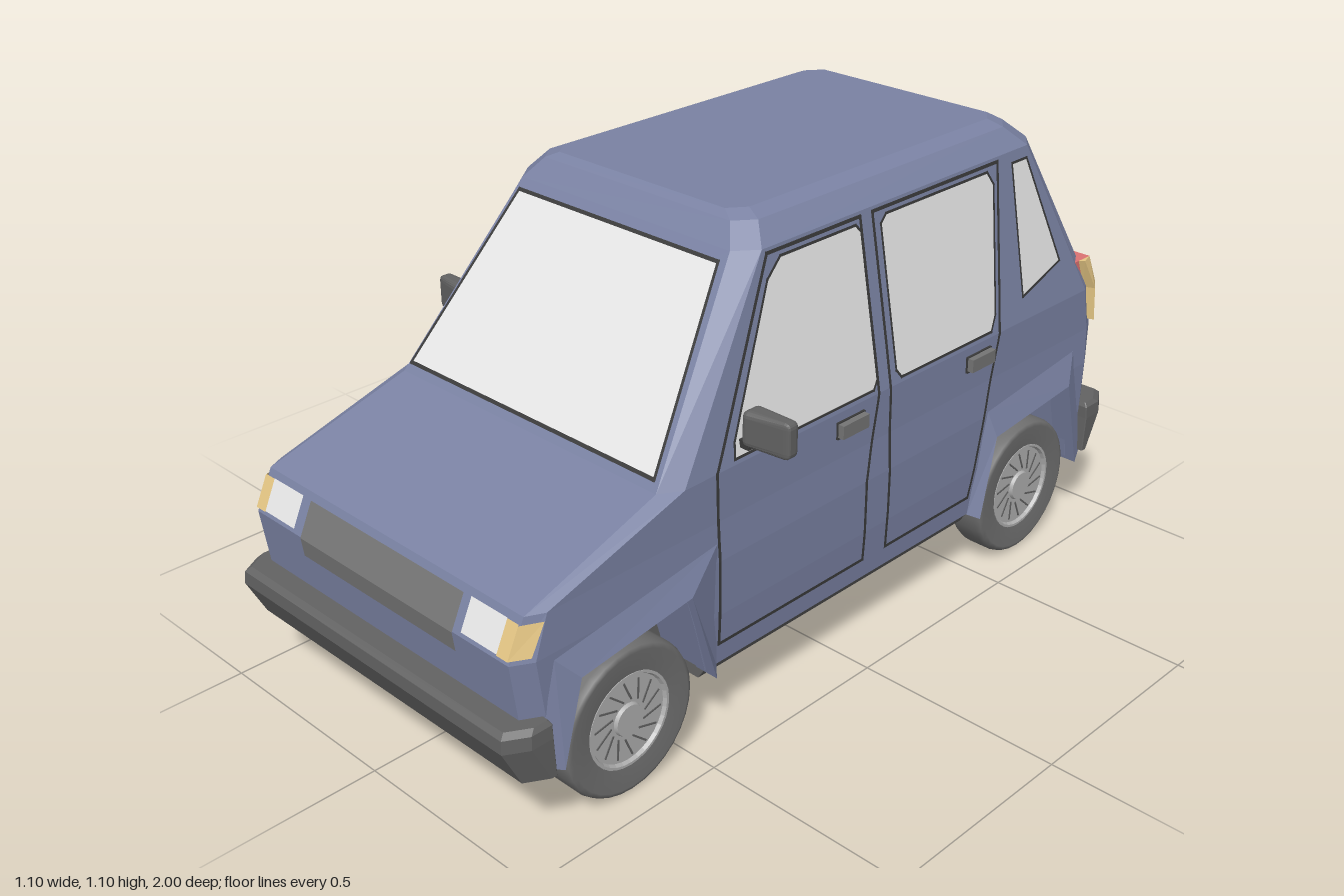
import * as THREE from 'three';
import { RoundedBoxGeometry } from 'three/addons/geometries/RoundedBoxGeometry.js';

const mat = (name, color) => new THREE.MeshStandardMaterial({ name, color, side: THREE.DoubleSide });

// Body levels: y, half width, front z, rear z, corner inset in x, corner inset in z
const LEVELS = [
  [0.19, 0.432, 0.92, -0.92, 0.025, 0.045],
  [0.31, 0.438, 0.94, -0.935, 0.026, 0.045],
  [0.44, 0.438, 0.957, -0.94, 0.026, 0.045],
  [0.53, 0.432, 0.915, -0.94, 0.02, 0.04],
  [0.64, 0.43, 0.56, -0.93, 0.03, 0.05],
  [1.04, 0.355, 0.265, -0.74, 0.04, 0.05],
  [1.085, 0.315, 0.228, -0.69, 0.035, 0.045],
  [1.10, 0.28, 0.212, -0.67, 0.03, 0.04],
];
function at(y) {
  let i = 0;
  while (i < LEVELS.length - 2 && y > LEVELS[i + 1][0]) i++;
  const a = LEVELS[i], b = LEVELS[i + 1], t = (y - a[0]) / (b[0] - a[0]);
  return a.map((v, k) => v + (b[k] - v) * t);
}

// Chamfered rectangle in plan, anticlockwise from above
function ring([y, w, zf, zb, c, d], cf = c, df = d, cb = c, db = d) {
  return [[w, zf - df], [w, zb + db], [w - cb, zb], [cb - w, zb], [-w, zb + db], [-w, zf - df], [cf - w, zf], [w - cf, zf]]
    .map(([x, z]) => [x, y, z]);
}
function flatGeometry(pos) {
  const g = new THREE.BufferGeometry();
  g.setAttribute('position', new THREE.Float32BufferAttribute(pos, 3));
  g.computeVertexNormals();
  return g;
}
function loft(rings) {
  const p = [], n = rings[0].length, last = rings[rings.length - 1];
  for (let i = 0; i < rings.length - 1; i++) for (let j = 0; j < n; j++) {
    const k = (j + 1) % n, a = rings[i][j], b = rings[i][k], c = rings[i + 1][k], d = rings[i + 1][j];
    p.push(...a, ...b, ...c, ...a, ...c, ...d);
  }
  for (let j = 1; j < n - 1; j++) {
    p.push(...last[0], ...last[j], ...last[j + 1]);
    p.push(...rings[0][0], ...rings[0][j + 1], ...rings[0][j]);
  }
  return flatGeometry(p);
}
// Flat outline laid onto the body by a mapping (u, v) -> [x, y, z]
function plate(points, map) {
  const g = new THREE.ShapeGeometry(new THREE.Shape(points.map(p => new THREE.Vector2(...p)))).toNonIndexed();
  const p = g.attributes.position, out = [];
  for (let i = 0; i < p.count; i++) out.push(...map(p.getX(i), p.getY(i)));
  return flatGeometry(out);
}
// Thin line following a closed outline on the body
function seam(points, map, width = 0.006) {
  const out = [], steps = 8, h = width / 2;
  points.forEach((a, i) => {
    const b = points[(i + 1) % points.length], l = Math.hypot(b[0] - a[0], b[1] - a[1]);
    const ex = (b[0] - a[0]) / l * h, ey = (b[1] - a[1]) / l * h;
    const q = (t, s) => map(a[0] - ex + (b[0] - a[0] + 2 * ex) * t - ey * s, a[1] - ey + (b[1] - a[1] + 2 * ey) * t + ex * s);
    for (let k = 0; k < steps; k++) {
      const t = k / steps, u = (k + 1) / steps;
      out.push(...q(t, -1), ...q(u, -1), ...q(u, 1), ...q(t, -1), ...q(u, 1), ...q(t, 1));
    }
  });
  return flatGeometry(out);
}

export function createModel() {
  const model = new THREE.Group();
  model.name = 'car';
  const paint = mat('body blue', 0x7a82a3), glass = mat('window grey', 0xe8e8e8), lamp = mat('headlight white', 0xeeeeee);
  const plastic = mat('bumper grey', 0x626262), black = mat('trim black', 0x3a3a3a), grilleMat = mat('grille grey', 0x757575);
  const rubber = mat('tyre grey', 0x6f6f6f), metal = mat('wheel silver', 0xb0b0b0);
  const red = mat('tail light red', 0xdc7272), amber = mat('indicator amber', 0xe4c684);
  const add = (name, geo, m, parent = model) => {
    const mesh = new THREE.Mesh(geo, m);
    mesh.name = name;
    parent.add(mesh);
    return mesh;
  };
  const box = (name, m, sx, sy, sz, x, y, z, parent) => {
    const b = add(name, new THREE.BoxGeometry(sx, sy, sz), m, parent);
    b.position.set(x, y, z);
    return b;
  };

  // Body above the wheel arches, then lower blocks between and outside them
  add('upperBody', loft([at(0.41), ...LEVELS.slice(2)].map(l => ring(l))), paint);
  const low = [0.19, 0.31, 0.41], slope = (y, a, b) => a + (b - a) * (y - 0.165) / 0.245;
  const block = (name, f, b) => add(name, loft(low.map(y => {
    const l = at(y), [, , , , c, d] = l;
    if (f) l[2] = slope(y, ...f);
    if (b) l[3] = slope(y, ...b);
    const e = 0.0005;
    return ring(l, f ? e : c, f ? e : d, b ? e : c, b ? e : d);
  })), paint);
  block('noseBlock', null, [0.87, 0.82]);
  block('sillBlock', [0.45, 0.52], [-0.46, -0.505]);
  block('tailBlock', [-0.86, -0.81], null);

  // Underside and wheel wells
  add('floor', loft([[0.155, 0.405], [0.19, 0.428]].map(([y, w]) => ring([y, w, 0.45, -0.455, 0.001, 0.001]))), plastic);
  box('wellCore', plastic, 0.62, 0.25, 1.78, 0, 0.28, 0);
  box('wellLining', plastic, 0.85, 0.01, 1.72, 0, 0.404, 0);
  for (const s of [1, -1]) {
    box('endFloor', plastic, 0.7, 0.02, 0.05, 0, 0.182, s * 0.885);
    const lip = [[0.15, 0.29], [0.19, 0.40]].map(([y, w]) => ring([y, w, s * 0.9 + 0.02, s * 0.9 - 0.02, 0.002, 0.002]));
    add('lowerLip', loft(lip), paint);
  }

  // Bumpers
  const frontBumper = [[0.18, 0.46, 0.955, 0.89], [0.27, 0.46, 1, 0.895], [0.3, 0.458, 0.998, 0.895], [0.31, 0.45, 0.985, 0.9]];
  add('frontBumper', loft(frontBumper.map(l => ring([...l, 0.03, 0.05], 0.03, 0.05, 0.002, 0.002))), plastic);
  const rearBumper = [[0.20, 0.46, -0.89, -0.955], [0.29, 0.46, -0.895, -1], [0.32, 0.458, -0.895, -0.998], [0.33, 0.45, -0.9, -0.985]];
  add('rearBumper', loft(rearBumper.map(l => ring([...l, 0.03, 0.05], 0.002, 0.002, 0.03, 0.05))), plastic);

  // Windscreen, rear window, grille and rear plate recess
  const front = o => (x, y) => {
    const [, w, zf, , c, d] = at(y);
    return [x, y + o * 0.5, zf + o - Math.max(0, Math.abs(x) - (w - c)) / c * d];
  };
  const rear = o => (x, y) => [x, y + o * 0.4, at(y)[3] - o];
  const screen = [[-0.385, 0.66], [0.385, 0.66], [0.303, 1.018], [-0.303, 1.018]];
  add('windscreen', plate(screen, front(0.003)), glass);
  add('windscreenTrim', seam(screen, front(0.005), 0.007), black);
  const back = [[-0.28, 0.655], [0.28, 0.655], [0.228, 1.015], [-0.228, 1.015]];
  add('rearWindow', plate(back, rear(0.003)), glass);
  add('rearWindowTrim', seam(back, rear(0.005), 0.005), black);
  add('plateRecess', seam([[-0.13, 0.365], [0.13, 0.365], [0.13, 0.46], [-0.13, 0.46]], rear(0.003), 0.004), black);
  add('grilleLower', plate([[-0.25, 0.395], [0.25, 0.395], [0.25, 0.44], [-0.25, 0.44]], front(0.004)), grilleMat);
  add('grilleUpper', plate([[-0.25, 0.44], [0.25, 0.44], [0.25, 0.515], [-0.25, 0.515]], front(0.004)), grilleMat);

  // Outlines in (z, y) for doors, side windows and arches
  const doors = [
    [[0.42, 0.24], [-0.045, 0.24], [-0.045, 0.44], [-0.085, 0.64], [-0.085, 1.03], [0.205, 1.03], [0.42, 0.64]],
    [[-0.125, 0.24], [-0.435, 0.24], [-0.475, 0.44], [-0.525, 0.64], [-0.57, 1.03], [-0.125, 1.03]],
  ];
  const windows = [
    [[0.37, 0.655], [-0.065, 0.655], [-0.08, 0.675], [-0.08, 1.0], [-0.065, 1.017], [0.17, 1.017], [0.215, 0.98], [0.365, 0.69]],
    [[-0.145, 0.675], [-0.16, 0.655], [-0.49, 0.655], [-0.51, 0.69], [-0.545, 0.985], [-0.525, 1.017], [-0.165, 1.017], [-0.145, 1.0]],
    [[-0.62, 0.70], [-0.775, 0.745], [-0.677, 1.015], [-0.62, 1.015]],
  ];
  const arches = [
    { outer: [[0.425, 0.19], [0.425, 0.485], [0.87, 0.425], [0.92, 0.2]], inner: [[0.45, 0.18], [0.52, 0.41], [0.82, 0.37], [0.87, 0.18]] },
    { outer: [[-0.44, 0.19], [-0.49, 0.45], [-0.84, 0.49], [-0.92, 0.2]], inner: [[-0.46, 0.18], [-0.505, 0.385], [-0.80, 0.415], [-0.86, 0.18]] },
  ];
  // Rear lamp levels: y, rear z, outer corner z, outer corner x
  const lampLevels = [[0.55, -0.957, -0.92, 0.438], [0.635, -0.957, -0.915, 0.436], [0.712, -0.92, -0.883, 0.42]];

  for (const s of [1, -1]) {
    const side = new THREE.Group();
    side.name = s > 0 ? 'leftSide' : 'rightSide';
    model.add(side);
    const wall = o => (z, y) => [s * (at(y)[1] + o), y, z];
    doors.forEach(d => add('doorSeam', seam(d, wall(0.002), 0.008), black, side));
    windows.forEach(w => {
      add('sideWindow', plate(w, wall(0.003)), glass, side);
      add('sideWindowTrim', seam(w, wall(0.005)), black, side);
    });
    for (const z of [0.01, -0.445]) {
      box('handlePocket', black, 0.008, 0.04, 0.09, s * 0.432, 0.6, z, side);
      box('doorHandle', grilleMat, 0.022, 0.032, 0.085, s * 0.44, 0.602, z + 0.002, side);
    }
    // Flared arches with a return edge into the wheel well
    for (const { outer, inner } of arches) {
      const rows = [outer.map(([z, y]) => wall(0.002)(z, Math.max(y, 0.19))), inner.map(([z, y]) => [s * 0.46, y, z]), inner.map(([z, y]) => [s * 0.40, y, z])];
      const p = [];
      for (let r = 0; r < 2; r++) for (let i = 0; i < 3; i++) {
        const q = [rows[r][i], rows[r][i + 1], rows[r + 1][i + 1], rows[r + 1][i]];
        const order = (s > 0) === (outer[0][0] > 0) ? [0, 1, 2, 0, 2, 3] : [2, 1, 0, 3, 2, 0];
        order.forEach(k => p.push(...q[k]));
      }
      add('archFlare', flatGeometry(p), paint, side);
    }
    // Lights wrapping round the corners
    const face = (name, m, x0, x1, y0, y1) =>
      add(name, plate([[x0, y0], [x1, y0], [x1, y1], [x0, y1]].map(([x, y]) => [s * x, y]), front(0.006)), m, side);
    face('headlight', lamp, 0.275, 0.38, 0.45, 0.517);
    face('frontIndicator', amber, 0.38, 0.412, 0.448, 0.516);
    face('frontIndicatorCorner', amber, 0.412, 0.435, 0.448, 0.513);
    const lampLoft = (name, m, section) => add(name, loft(lampLevels.map(l => {
      const r = section(l).map(([x, z]) => [s * x, l[0], z]);
      return s > 0 ? r : r.reverse();
    })), m, side);
    lampLoft('tailLight', red, ([, zb, zo]) => [[0.408, zo + 0.03], [0.408, zb], [0.31, zb], [0.31, zo + 0.03]]);
    lampLoft('rearIndicator', amber, ([, zb, zo, xo]) => [[xo, zo], [0.408, zb], [0.408, zo + 0.01]]);

    // Mirror, thinner towards its outer end
    const shell = new RoundedBoxGeometry(0.115, 0.082, 0.05, 2, 0.014), v = shell.attributes.position;
    for (let i = 0; i < v.count; i++) {
      if (v.getZ(i) > 0) v.setZ(i, v.getZ(i) * (0.75 - s * v.getX(i) * 7));
    }
    shell.computeVertexNormals();
    add('mirrorShell', shell, plastic, side).position.set(s * 0.49, 0.72, 0.33);
    box('mirrorGlass', glass, 0.09, 0.058, 0.004, s * 0.49, 0.72, 0.304, side);
    box('mirrorStalk', black, 0.035, 0.018, 0.03, s * 0.432, 0.682, 0.335, side);

    // Wheels, spun about x
    for (const z of [0.67, -0.67]) {
      const wheel = new THREE.Group();
      wheel.name = z > 0 ? 'frontWheel' : 'rearWheel';
      wheel.position.set(s * 0.388, 0.175, z);
      wheel.rotation.z = -s * Math.PI / 2;
      side.add(wheel);
      const tyre = [[0.105, -0.04], [0.16, -0.047], [0.17, -0.043], [0.175, -0.03], [0.175, 0.03], [0.17, 0.043], [0.16, 0.047], [0.108, 0.04]];
      add('tyre', new THREE.LatheGeometry(tyre.map(p => new THREE.Vector2(...p)), 32), rubber, wheel);
      const rim = [[0, 0.034], [0.1, 0.034], [0.104, 0.042], [0.11, 0.042], [0.106, -0.04]];
      add('rim', new THREE.LatheGeometry(rim.map(p => new THREE.Vector2(...p)).reverse(), 32).toNonIndexed(), metal, wheel).geometry.computeVertexNormals();
      add('hub', new THREE.CylinderGeometry(0.035, 0.038, 0.008, 20), metal, wheel).position.y = 0.038;
      for (let i = 0; i < 14; i++) {
        const a = i / 14 * Math.PI * 2;
        const slot = box('rimSlot', plastic, 0.05, 0.002, 0.004, Math.cos(a) * 0.068, 0.036, -Math.sin(a) * 0.068, wheel);
        slot.rotation.y = a + 0.4;
      }
    }
  }
  return model;
}
